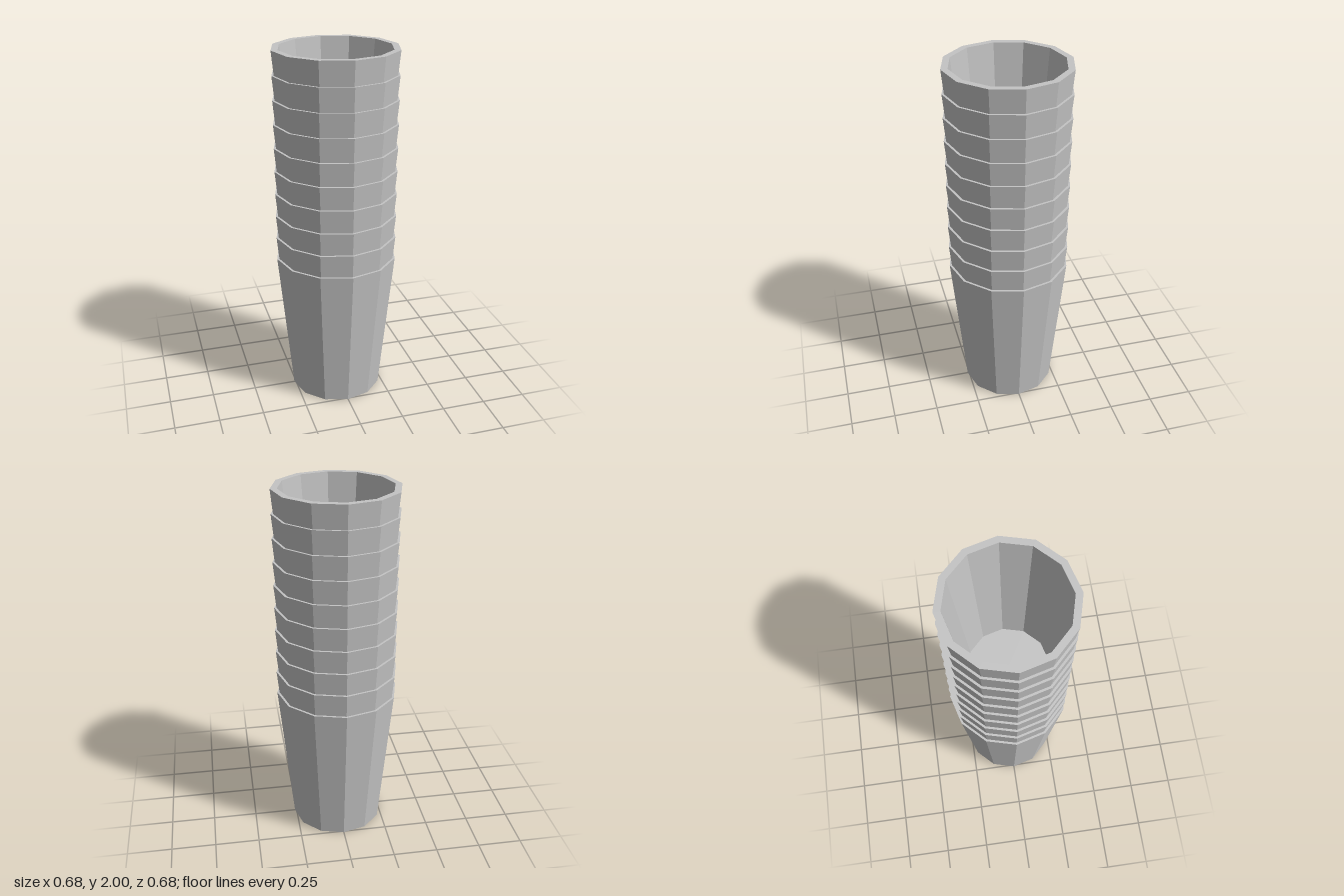
import * as THREE from 'three';

export function createModel() {
  const model = new THREE.Group();
  model.name = 'cupStack';

  const grey = new THREE.MeshStandardMaterial({ color: 0xc4c4c4, flatShading: true });
  grey.name = 'light grey';

  const cups = 10, sides = 12, cupHeight = 0.835;
  const step = (2 - cupHeight) / (cups - 1);

  // Cup profile: base, outer wall, rim, inner wall, inner floor
  const profile = [
    [0, 0], [0.26, 0], [0.341, cupHeight],
    [0.305, cupHeight], [0.222, 0.036], [0, 0.036],
  ].map(([r, y]) => new THREE.Vector2(r, y));
  const cupGeometry = new THREE.LatheGeometry(profile, sides);

  // Nested cups, each raised by one step
  for (let i = 0; i < cups; i++) {
    const cup = new THREE.Mesh(cupGeometry, grey);
    cup.name = `cup${i + 1}`;
    cup.position.y = i * step;
    model.add(cup);
  }
  return model;
}
